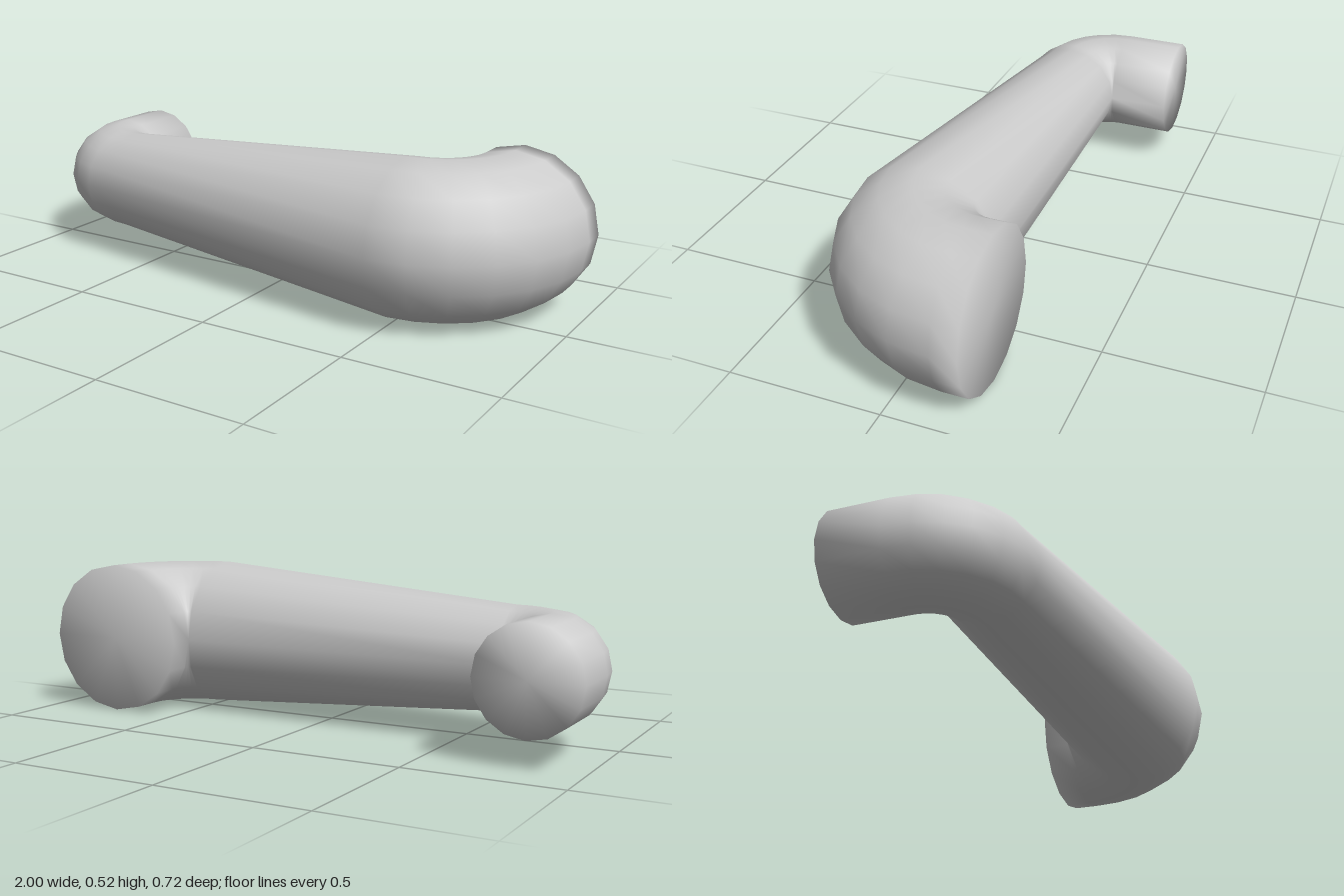
import * as THREE from 'three';
import { mergeVertices } from 'three/addons/utils/BufferGeometryUtils.js';

const SIDES = 16, BEND_STEPS = 6, MID_Y = 0.257;

// Cross-sections: the inner edge stays on a pivot while the outer edge swings around it.
function buildSections() {
  const sections = [];
  const add = (x, z, angle, radius) => sections.push({ x, z, angle, radius });
  const small = 0.1715, large = 0.2575;
  add(-0.657, -0.36, -Math.PI / 2, small); // narrow open end
  for (let i = 0; i <= BEND_STEPS; i++) add(-0.657, -0.157, -(1 - i / BEND_STEPS) * Math.PI / 2, small);
  for (let i = 0; i <= BEND_STEPS; i++) add(0.485, -0.16, (i / BEND_STEPS) * Math.PI / 2, large);
  add(0.485, -0.245, Math.PI / 2, large); // wide end
  return sections;
}

// Skin the sections into one smooth closed body.
function buildBody(sections) {
  const positions = [], index = [];
  for (const { x, z, angle, radius } of sections) {
    for (let j = 0; j < SIDES; j++) {
      const a = (j / SIDES) * Math.PI * 2;
      const out = radius * (1 + Math.cos(a));
      positions.push(x + Math.sin(angle) * out, MID_Y + Math.sin(a) * radius, z + Math.cos(angle) * out);
    }
  }
  for (let i = 0; i < sections.length - 1; i++) {
    for (let j = 0; j < SIDES; j++) {
      const k = (j + 1) % SIDES;
      const a = i * SIDES + j, b = i * SIDES + k, c = a + SIDES, d = b + SIDES;
      index.push(a, c, b, b, c, d);
    }
  }
  // Flat end caps sharing the rim vertices
  const cap = (row, flip) => {
    const { x, z, angle, radius } = sections[row];
    const centre = positions.length / 3;
    positions.push(x + Math.sin(angle) * radius, MID_Y, z + Math.cos(angle) * radius);
    for (let j = 0; j < SIDES; j++) {
      const p = row * SIDES + j, q = row * SIDES + (j + 1) % SIDES;
      if (flip) index.push(centre, q, p);
      else index.push(centre, p, q);
    }
  };
  cap(0, false);
  cap(sections.length - 1, true);

  let geometry = new THREE.BufferGeometry();
  geometry.setAttribute('position', new THREE.Float32BufferAttribute(positions, 3));
  geometry.setIndex(index);
  geometry = mergeVertices(geometry, 1e-4); // weld the pivot points
  geometry.computeVertexNormals();
  return geometry;
}

export function createModel() {
  const group = new THREE.Group();
  group.name = 'handle';
  const material = new THREE.MeshStandardMaterial({ color: 0xcccccc });
  const body = new THREE.Mesh(buildBody(buildSections()), material);
  body.name = 'taperedHandleBar';
  group.add(body);
  return group;
}
